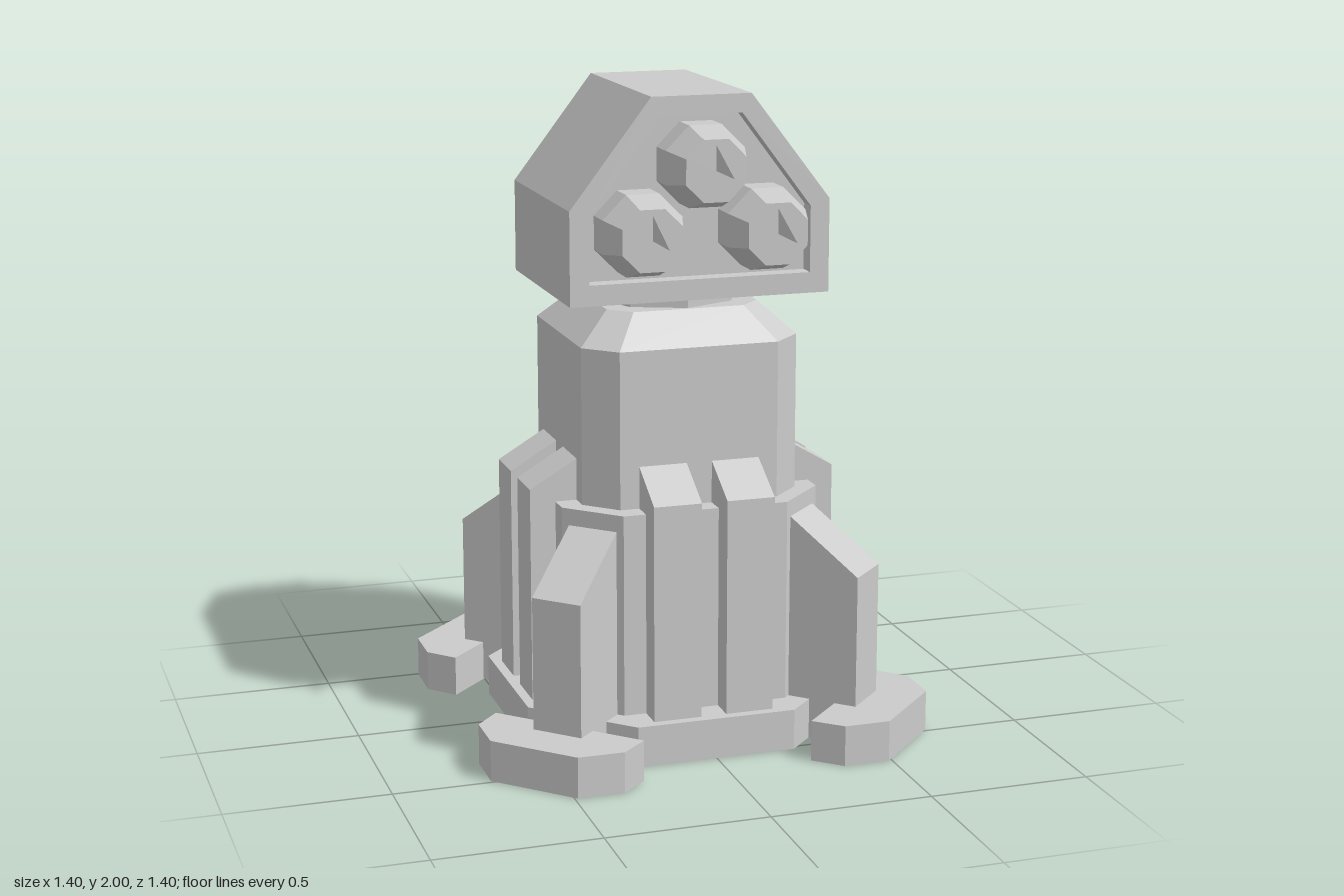
import * as THREE from 'three';

const grey = new THREE.MeshStandardMaterial({ color: 0xcccccc, flatShading: true, side: THREE.DoubleSide });

function part(parent, name, geometry) {
  const mesh = new THREE.Mesh(geometry, grey);
  mesh.name = name;
  parent.add(mesh);
  return mesh;
}

// Skin between rings of [x, y, z] points, each counter-clockwise about the loft direction
function loft(rings, capStart, capEnd) {
  const pos = [];
  const tri = (a, b, c) => pos.push(...a, ...b, ...c);
  const n = rings[0].length;
  for (let i = 0; i < rings.length - 1; i++) {
    for (let j = 0; j < n; j++) {
      const k = (j + 1) % n, r = rings[i], s = rings[i + 1];
      tri(r[j], r[k], s[k]);
      tri(r[j], s[k], s[j]);
    }
  }
  const first = rings[0], last = rings[rings.length - 1];
  for (let j = 1; j < n - 1; j++) {
    if (capStart) tri(first[0], first[j + 1], first[j]);
    if (capEnd) tri(last[0], last[j], last[j + 1]);
  }
  const g = new THREE.BufferGeometry();
  g.setAttribute('position', new THREE.Float32BufferAttribute(pos, 3));
  g.computeVertexNormals();
  return g;
}

// Square with cut corners: h = half size, f = half length of each flat side
const cutSquare = (h, f) => [[h, -f], [h, f], [f, h], [-f, h], [-h, f], [-h, -f], [-f, -h], [f, -h]];
const atY = (pts, y) => pts.map(([u, v]) => [u, y, -v]);
const atZ = (pts, z, x0 = 0, y0 = 0) => pts.map(([u, v]) => [x0 + u, y0 + v, z]);

// Side profile (radius, height) extruded to a centred width
function slab(profile, width) {
  const shape = new THREE.Shape(profile.map(p => new THREE.Vector2(...p)));
  return new THREE.ExtrudeGeometry(shape, { depth: width, bevelEnabled: false }).translate(0, 0, -width / 2);
}

// Six-sided head outline: half width w, bottom b, shoulder s, top t, half roof width r
const headOutline = (w, b, s, t, r) => [[-w, b], [w, b], [w, s], [r, t], [-r, t], [-w, s]];

export function createModel() {
  const model = new THREE.Group();
  model.name = 'rocketTurret';

  // Base plate, open underneath
  const plate = cutSquare(0.52, 0.25);
  part(model, 'basePlate', loft([atY(plate, 0), atY(plate, 0.127)], false, true));

  // Lower body and bevelled tower
  const lower = cutSquare(0.41, 0.26);
  part(model, 'lowerBody', loft([atY(lower, 0.127), atY(lower, 0.757)], false, true));
  const tower = cutSquare(0.343, 0.25);
  part(model, 'tower', loft([atY(tower, 0.75), atY(tower, 1.243), atY(cutSquare(0.24, 0.175), 1.34)], false, true));

  // Neck
  part(model, 'neck', new THREE.CylinderGeometry(0.23, 0.23, 0.07, 8)).position.y = 1.365;

  // Two sloped ribs on each side; a buttress and foot on each corner
  const ribGeo = slab([[0.33, 0.127], [0.49, 0.127], [0.49, 0.8], [0.33, 0.895]], 0.15);
  const legGeo = slab([[0.46, 0.127], [0.7, 0.127], [0.7, 0.54], [0.46, 0.715]], 0.163);
  const footPts = [[0.63, -0.255], [0.74, -0.25], [0.841, -0.148], [0.841, 0.148], [0.74, 0.25], [0.63, 0.255]];
  const footGeo = loft([atY(footPts, 0), atY(footPts, 0.127)], false, true);
  const linkGeo = new THREE.BoxGeometry(0.09, 0.127, 0.163).translate(0.588, 0.0635, 0);
  for (let i = 0; i < 4; i++) {
    const side = new THREE.Group();
    side.name = 'ribPair';
    side.rotation.y = i * Math.PI / 2;
    for (const s of [-1, 1]) part(side, 'rib', ribGeo).position.z = s * 0.115;

    const corner = new THREE.Group();
    corner.name = 'cornerSupport';
    corner.rotation.y = (i + 0.5) * Math.PI / 2;
    part(corner, 'buttress', legGeo);
    part(corner, 'foot', footGeo);
    part(corner, 'footLink', linkGeo);
    model.add(side, corner);
  }

  // Launcher head: tapered back, framed front and recessed panel
  const outer = headOutline(0.405, 1.39, 1.675, 2, 0.155);
  const frame = headOutline(0.345, 1.453, 1.655, 1.943, 0.127);
  part(model, 'launcherHead', loft([
    atZ(headOutline(0.285, 1.51, 1.637, 1.885, 0.098), -0.383),
    atZ(outer, -0.272), atZ(outer, 0.355), atZ(frame, 0.355), atZ(frame, 0.3),
  ], true, true));

  // Three eight-sided rockets, each with a thin pointed blade
  const ring = h => cutSquare(h, h * Math.tan(Math.PI / 8));
  for (const [x, y] of [[0, 1.795], [-0.193, 1.6], [0.193, 1.6]]) {
    part(model, 'rocket', loft([
      atZ(ring(0.122), 0.3, x, y), atZ(ring(0.122), 0.39, x, y), atZ(ring(0.092), 0.49, x, y),
    ], false, true));
    part(model, 'rocketBlade', loft([[[x, y, 0.49], [x, y, 0.65], [x, y + 0.075, 0.49]]], false, true));
  }
  return model;
}
